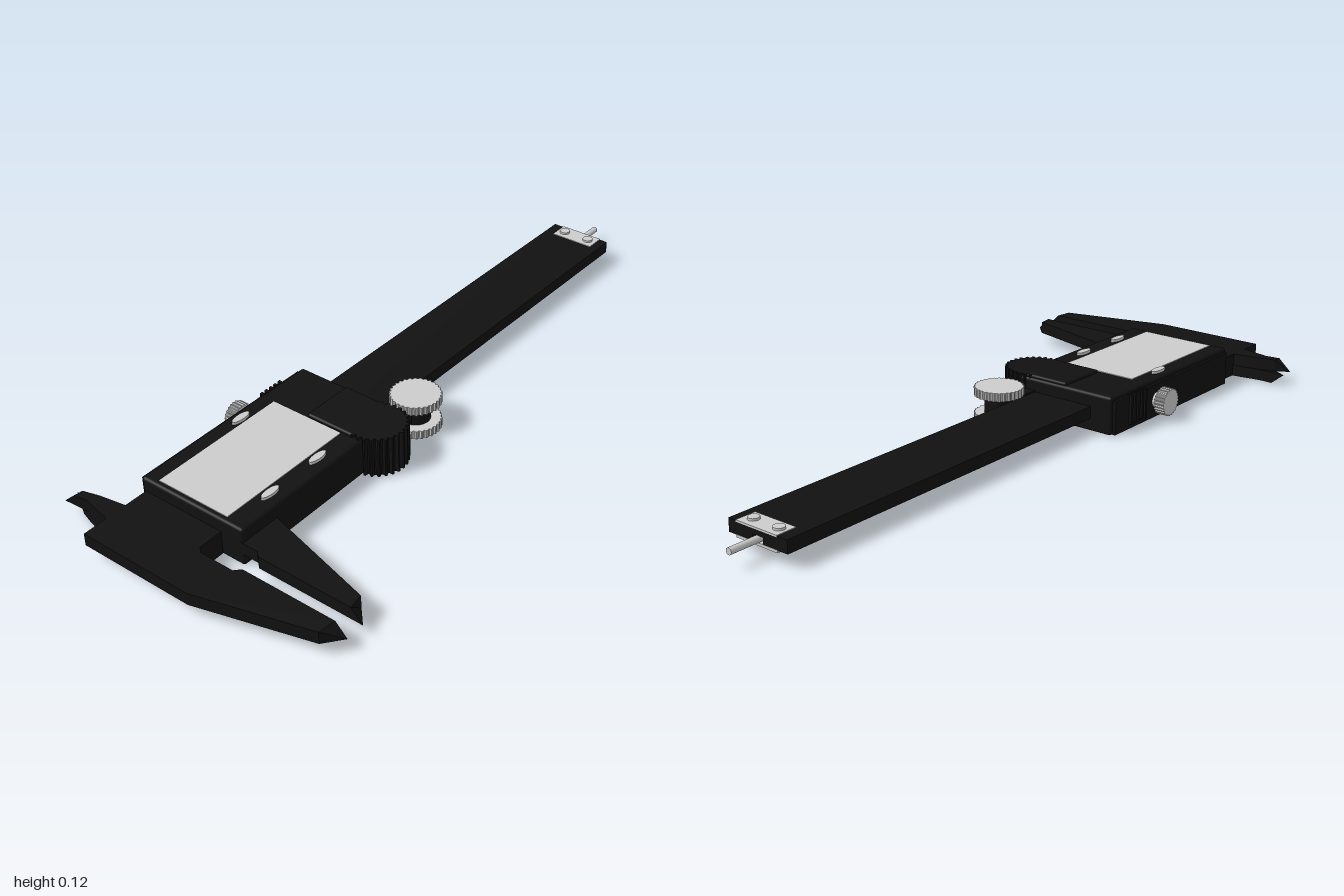
import * as THREE from 'three';
import { RoundedBoxGeometry } from 'three/addons/geometries/RoundedBoxGeometry.js';

const black = new THREE.MeshStandardMaterial({ color: 0x111111 });
const grey = new THREE.MeshStandardMaterial({ color: 0xcccccc });

export function createModel() {
  const model = new THREE.Group();

  const add = (name, geometry, material, x = 0, y = 0, z = 0) => {
    const mesh = new THREE.Mesh(geometry, material);
    mesh.name = name;
    mesh.position.set(x, y, z);
    model.add(mesh);
    return mesh;
  };

  // Box given by its limits on each axis, optionally with rounded edges
  const block = (name, material, [x0, x1], [y0, y1], [z0, z1], radius = 0) => {
    const size = [x1 - x0, y1 - y0, z1 - z0];
    const geo = radius ? new RoundedBoxGeometry(...size, 2, radius) : new THREE.BoxGeometry(...size);
    return add(name, geo, material, (x0 + x1) / 2, (y0 + y1) / 2, (z0 + z1) / 2);
  };

  // Flat plate from an outline of [x, z] points, between two heights
  const plate = (points, y0, y1) => {
    const shape = new THREE.Shape(points.map(([x, z]) => new THREE.Vector2(x, -z)));
    const geo = new THREE.ExtrudeGeometry(shape, { depth: y1 - y0, bevelEnabled: false });
    return geo.rotateX(-Math.PI / 2).translate(0, y0, 0);
  };

  // Chamfer the blade tips on the upper or lower face
  const chamferTips = (geo, faceY) => {
    const p = geo.attributes.position;
    for (let i = 0; i < p.count; i++) {
      const z = p.getZ(i);
      if (Math.abs(z) > 0.4 && Math.abs(p.getY(i) - faceY) < 0.001) p.setZ(i, Math.sign(z) * 0.391);
    }
    geo.computeVertexNormals();
    return geo;
  };

  // Disc with square teeth around its rim, centred on its axis
  const knurledDisc = (radius, teeth, height, depth) => {
    const points = [];
    for (let i = 0; i < teeth * 4; i++) {
      const a = ((i + 0.5) / (teeth * 4)) * Math.PI * 2;
      const r = i % 4 < 2 ? radius : radius - depth;
      points.push([Math.cos(a) * r, -Math.sin(a) * r]);
    }
    return plate(points, -height / 2, height / 2);
  };

  // Main beam, with a groove for the depth rod along its underside
  const section = new THREE.Shape([
    [0.02, 0.04], [0.098, 0.04], [0.098, 0.058], [0.132, 0.058], [0.132, 0.04],
    [0.21, 0.04], [0.21, 0.075], [0.02, 0.075],
  ].map(([u, v]) => new THREE.Vector2(u, v)));
  const beam = new THREE.ExtrudeGeometry(section, { depth: 1.875, bevelEnabled: false });
  add('beam', beam.rotateY(Math.PI / 2), black, -0.96);

  // Fixed jaws: long outside jaw and short inside blade
  add('fixedJaw', chamferTips(plate([
    [-1, -0.265], [-0.93, -0.265], [-0.912, -0.35], [-0.917, -0.43], [-0.893, -0.388],
    [-0.88, -0.34], [-0.868, -0.265], [-0.79, -0.265], [-0.79, -0.015], [-0.87, -0.015],
    [-0.882, 0], [-0.882, 0.1], [-0.866, 0.115], [-0.866, 0.425], [-0.915, 0.385], [-1, 0.07],
  ], 0.04, 0.075), 0.075), black);

  // Sliding outside jaw
  add('slidingJaw', chamferTips(plate([
    [-0.8, 0], [-0.65, 0], [-0.684, 0.06], [-0.77, 0.385], [-0.813, 0.425],
    [-0.813, 0.115], [-0.8, 0.1],
  ], 0.04, 0.075), 0.075), black);

  // Sliding inside blade, under the beam
  add('slidingInsideBlade', chamferTips(plate([
    [-0.93, -0.265], [-0.912, -0.35], [-0.9, -0.388], [-0.877, -0.43], [-0.878, -0.35],
    [-0.865, -0.265], [-0.78, -0.265], [-0.78, -0.015], [-0.87, -0.015], [-0.93, -0.03],
  ], 0.008, 0.04), 0.008), black);

  // Slider body
  block('sliderBody', black, [-0.8, -0.21], [0.004, 0.113], [-0.276, 0.055], 0.008);
  block('sliderBackRail', black, [-0.79, -0.22], [0.006, 0.102], [-0.285, -0.27]);
  block('wheelCover', black, [-0.37, -0.215], [0.1, 0.121], [-0.12, 0.03], 0.006);
  block('display', grey, [-0.785, -0.375], [0.1, 0.115], [-0.23, -0.005]);

  // Ribs on the back edge of the battery cover
  for (let i = 0; i < 5; i++) {
    block('coverRib', black, [-0.36 + i * 0.017, -0.352 + i * 0.017], [0.02, 0.105], [-0.293, -0.27]);
  }

  // Push buttons
  for (const [x, z] of [[-0.66, 0.016], [-0.488, 0.016], [-0.482, -0.246]]) {
    const button = add('button', new THREE.CylinderGeometry(0.5, 0.5, 0.014, 24), grey, x, 0.114, z);
    button.scale.set(0.06, 1, 0.022);
  }

  // Dark finger grip at the front of the slider
  add('fingerGrip', knurledDisc(0.085, 28, 0.113, 0.009), black, -0.287, 0.064, 0.04);

  // Thumb roller: two knurled discs on a hub, carried by an arm
  for (const y of [0.02, 0.095]) {
    add('thumbRollerDisc', knurledDisc(0.07, 30, 0.024, 0.004), grey, -0.115, y, 0.032);
  }
  add('thumbRollerHub', new THREE.CylinderGeometry(0.04, 0.04, 0.06, 32), black, -0.115, 0.0575, 0.032);
  add('thumbRollerArm', plate([
    [-0.22, -0.02], [-0.115, -0.015], [-0.085, 0.03], [-0.115, 0.05], [-0.22, 0.04],
  ], 0.036, 0.079), black);

  // Lock screw on the back edge
  const lockKnob = add('lockScrewKnob', knurledDisc(0.039, 24, 0.031, 0.003), grey, -0.42, 0.057, -0.316);
  const lockNeck = add('lockScrewNeck', new THREE.CylinderGeometry(0.023, 0.023, 0.05, 24), grey, -0.42, 0.055, -0.28);
  lockKnob.rotation.x = lockNeck.rotation.x = Math.PI / 2;

  // End plates with screws
  block('endPlateTop', grey, [0.857, 0.916], [0.072, 0.077], [-0.178, -0.045]);
  block('endPlateBottom', grey, [0.79, 0.916], [0.034, 0.041], [-0.178, -0.045]);
  for (const z of [-0.155, -0.072]) {
    add('endPlateScrew', new THREE.CylinderGeometry(0.015, 0.015, 0.053, 20), grey, 0.886, 0.0565, z);
  }

  // Depth rod, running in the groove and out past the end of the beam
  const rod = add('depthRod', new THREE.CylinderGeometry(0.009, 0.009, 1.3, 16), grey, 0.35, 0.05, -0.115);
  rod.rotation.z = Math.PI / 2;

  return model;
}
